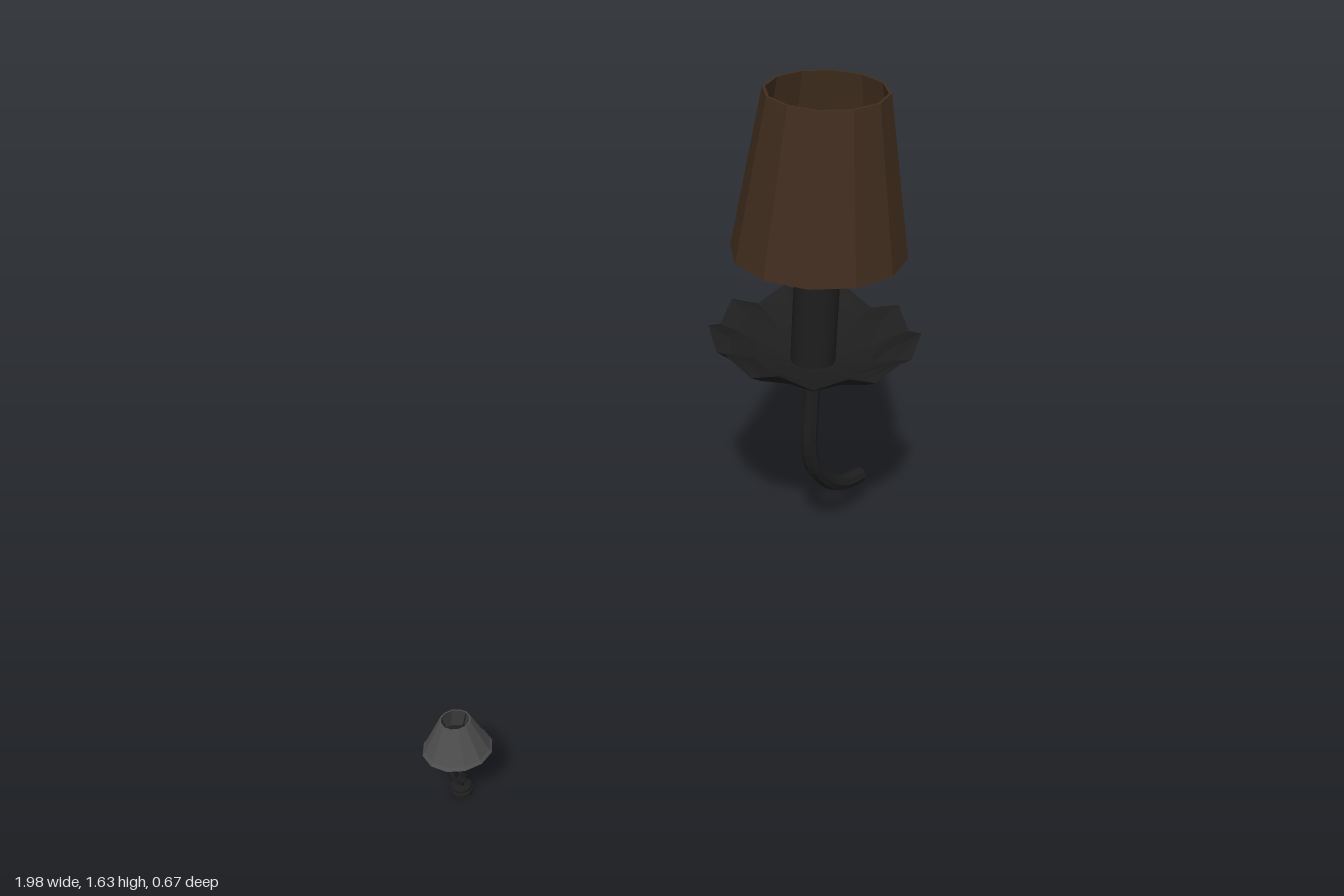
import * as THREE from 'three';

const mat = (color, opts = {}) => new THREE.MeshStandardMaterial({ color, ...opts });
const iron = mat(0x1e1e1e, { flatShading: true, side: THREE.DoubleSide });
const ironSmooth = mat(0x1e1e1e);
const brownCloth = mat(0x402d1e, { flatShading: true, side: THREE.DoubleSide });
const greyCloth = mat(0x4c4c4c, { flatShading: true, side: THREE.DoubleSide });

function add(group, name, geometry, material, y = 0) {
  const mesh = new THREE.Mesh(geometry, material);
  mesh.name = name;
  mesh.position.y = y;
  group.add(mesh);
  return mesh;
}

const lathe = (points, sides) =>
  new THREE.LatheGeometry(points.map(([r, y]) => new THREE.Vector2(r, y)), sides);

const tube = (points, radius, steps, sides) =>
  new THREE.TubeGeometry(new THREE.CatmullRomCurve3(points), steps, radius, sides);

// Shallow drip dish whose rim rises and falls in scallops
function scallopedDish() {
  const geo = lathe([
    [0, 0.72], [0.09, 0.72], [0.2, 0.75], [0.275, 0.785], [0.328, 0.825],
    [0.27, 0.8], [0.19, 0.765], [0.08, 0.74], [0, 0.74],
  ], 20);
  const p = geo.attributes.position;
  for (let i = 0; i < p.count; i++) {
    const r = Math.hypot(p.getX(i), p.getZ(i));
    const wave = Math.cos(10 * Math.atan2(p.getX(i), p.getZ(i)));
    const amount = THREE.MathUtils.smoothstep(r, 0.22, 0.328) * wave;
    const s = 1 + 0.025 * amount;
    p.setXYZ(i, p.getX(i) * s, p.getY(i) + 0.022 * amount, p.getZ(i) * s);
  }
  geo.computeVertexNormals();
  return geo;
}

function wallLamp() {
  const g = new THREE.Group();
  g.name = 'wallLamp';

  // Curved arm, capped at its free end
  const path = [[0, 0.73], [0, 0.55], [0.002, 0.42], [0.025, 0.335], [0.08, 0.26],
    [0.15, 0.2], [0.225, 0.162], [0.32, 0.147]].map(([x, y]) => new THREE.Vector3(x, y, 0));
  add(g, 'arm', tube(path, 0.028, 18, 8), iron);
  const cap = add(g, 'armEnd', new THREE.CircleGeometry(0.028, 8), iron, 0.147);
  cap.position.x = 0.32;
  cap.rotation.y = Math.PI / 2;

  add(g, 'dripDish', scallopedDish(), iron);
  add(g, 'candleTube', new THREE.CylinderGeometry(0.072, 0.072, 0.42, 20), ironSmooth, 0.94);

  // Thin-walled faceted shade, open at both ends
  add(g, 'shade', lathe([[0.275, 1.115], [0.19, 1.63], [0.181, 1.63], [0.266, 1.115], [0.275, 1.115]], 12), brownCloth);
  return g;
}

function tableLamp() {
  const g = new THREE.Group();
  g.name = 'tableLamp';

  // Stepped round foot
  add(g, 'foot', lathe([[0, 0], [0.031, 0], [0.031, 0.01], [0.025, 0.012], [0.025, 0.016],
    [0.03, 0.018], [0.03, 0.025], [0.012, 0.03], [0, 0.03]], 12), iron);

  // Four twisted wires swelling at mid height
  for (let k = 0; k < 4; k++) {
    const pts = [];
    for (let i = 0; i <= 10; i++) {
      const t = i / 10;
      const a = k * Math.PI / 2 + t * Math.PI * 1.2;
      const r = 0.006 + 0.02 * Math.sin(Math.PI * t);
      pts.push(new THREE.Vector3(r * Math.cos(a), 0.026 + 0.108 * t, r * Math.sin(a)));
    }
    add(g, 'twistedWire', tube(pts, 0.0038, 16, 6), iron);
  }

  add(g, 'socket', new THREE.CylinderGeometry(0.009, 0.011, 0.05, 10), iron, 0.155);

  // Flared shade with its carrier ring and spokes
  add(g, 'shade', lathe([[0.097, 0.16], [0.09, 0.168], [0.043, 0.26], [0.039, 0.26],
    [0.086, 0.168], [0.093, 0.16], [0.097, 0.16]], 12), greyCloth);
  const ring = add(g, 'shadeRing', new THREE.TorusGeometry(0.011, 0.002, 5, 12), iron, 0.18);
  ring.rotation.x = Math.PI / 2;
  for (let k = 0; k < 3; k++) {
    const a = k * Math.PI * 2 / 3;
    const c = Math.cos(a), s = Math.sin(a);
    add(g, 'shadeSpoke', tube([new THREE.Vector3(0.01 * c, 0.18, 0.01 * s),
      new THREE.Vector3(0.04 * c, 0.255, 0.04 * s)], 0.0018, 2, 5), iron);
  }
  return g;
}

export function createModel() {
  const model = new THREE.Group();
  model.name = 'lamps';
  const wall = wallLamp();
  wall.position.x = 0.66;
  const table = tableLamp();
  table.position.set(-0.903, 0, -0.02);
  model.add(wall, table);
  return model;
}
